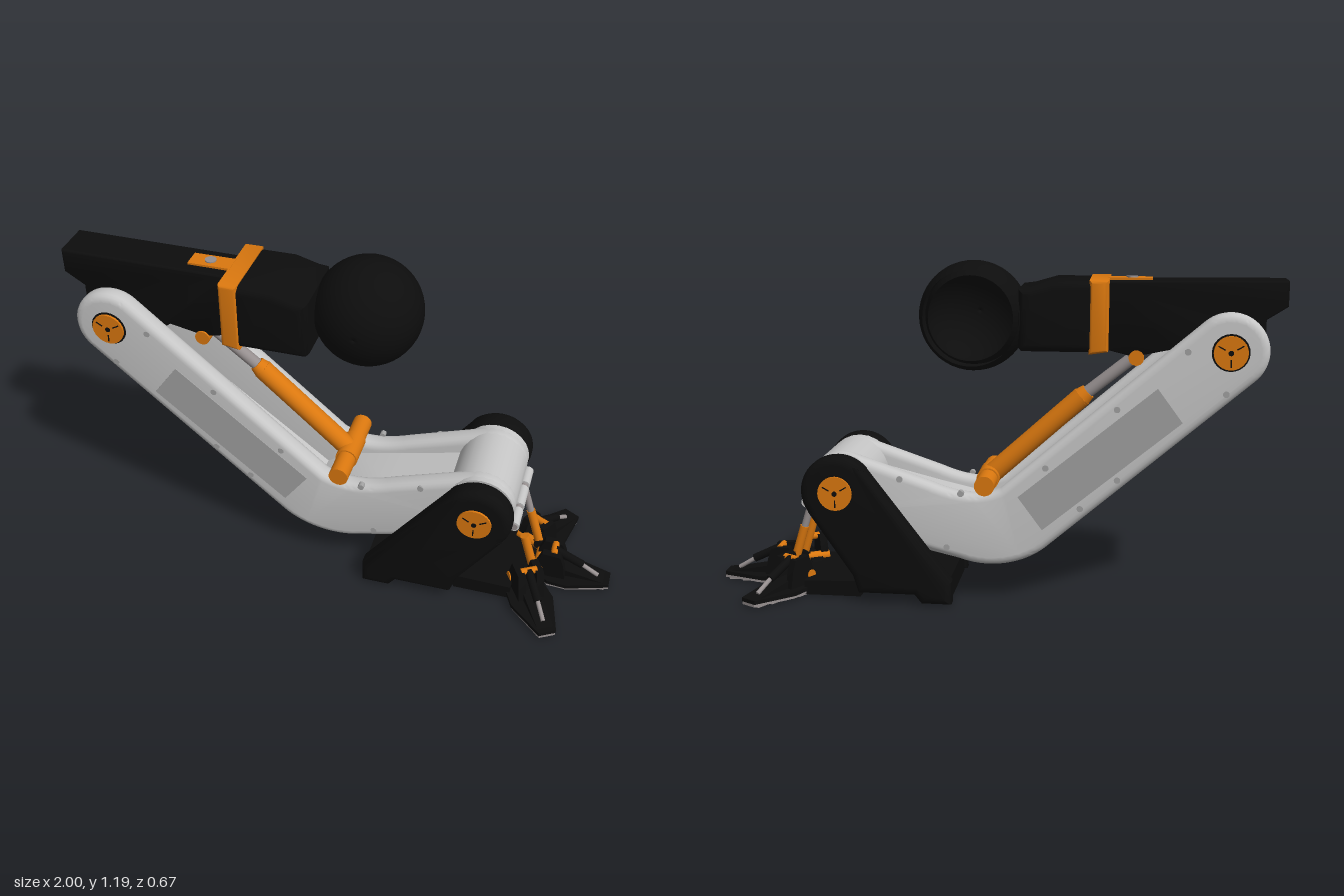
import * as THREE from 'three';
import { toCreasedNormals } from 'three/addons/utils/BufferGeometryUtils.js';

const mat = (name, color, side = THREE.FrontSide) => {
  const m = new THREE.MeshStandardMaterial({ color, side });
  m.name = name;
  return m;
};

export function createModel() {
  const shell = mat('light grey shell', 0xc6c6c6);
  const panel = mat('panel grey', 0xa2a2a2);
  const steel = mat('steel', 0x968f8f);
  const orange = mat('orange', 0xdb780f);
  const black = mat('black', 0x0d0d0d);
  const model = new THREE.Group();
  model.name = 'mechanicalLeg';

  const add = (name, geo, m, parent = model) => {
    const mesh = new THREE.Mesh(geo, m);
    mesh.name = name;
    parent.add(mesh);
    return mesh;
  };
  const poly = (pts) => new THREE.Shape(pts.map(([x, y]) => new THREE.Vector2(x, y)));
  // profile in x/y, extruded between z0 and z1 with rounded edges
  const slab = (name, shape, z0, z1, b, m, parent) => {
    const geo = new THREE.ExtrudeGeometry(Array.isArray(shape) ? poly(shape) : shape, {
      depth: z1 - z0 - 2 * b, bevelEnabled: b > 0, bevelThickness: b, bevelSize: b,
      bevelOffset: -b, bevelSegments: 4, curveSegments: 20,
    });
    geo.translate(0, 0, z0 + b);
    return add(name, toCreasedNormals(geo, 0.6), m, parent);
  };
  // round bar between two points
  const bar = (name, a, b, r, m, parent, r2 = r) => {
    const p = new THREE.Vector3(...a), q = new THREE.Vector3(...b);
    const mesh = add(name, new THREE.CylinderGeometry(r2, r, p.distanceTo(q), 24), m, parent);
    mesh.position.copy(p).add(q).multiplyScalar(0.5);
    mesh.quaternion.setFromUnitVectors(new THREE.Vector3(0, 1, 0), q.sub(p).normalize());
    return mesh;
  };
  const pin = (name, x, y, z0, z1, r, m, parent) => bar(name, [x, y, z0], [x, y, z1], r, m, parent);
  const box = (name, x0, x1, y0, y1, z0, z1, m, parent) => {
    const mesh = add(name, new THREE.BoxGeometry(x1 - x0, y1 - y0, z1 - z0), m, parent);
    mesh.position.set((x0 + x1) / 2, (y0 + y1) / 2, (z0 + z1) / 2);
    return mesh;
  };

  // Shin: two rounded rails with a channel between them
  const rail = new THREE.Shape();
  rail.moveTo(-0.725, 0.998);
  rail.absarc(-0.81, 0.9, 0.13, 0.857, 3.999, false);
  rail.lineTo(-0.2, 0.2);
  rail.bezierCurveTo(-0.12, 0.135, 0, 0.115, 0.1, 0.15);
  rail.lineTo(0.2, 0.173);
  rail.lineTo(0.55, 0.283);
  rail.absarc(0.52, 0.4, 0.122, -1.32, 1.9, false);
  rail.lineTo(0.2, 0.42);
  rail.quadraticCurveTo(0.05, 0.36, -0.045, 0.41);
  const core = new THREE.Shape();
  core.moveTo(-0.76, 0.69);
  core.lineTo(-0.2, 0.205);
  core.bezierCurveTo(-0.12, 0.14, 0, 0.12, 0.1, 0.155);
  core.lineTo(0.2, 0.178);
  core.lineTo(0.55, 0.288);
  core.lineTo(0.5, 0.45);
  core.lineTo(0.2, 0.375);
  core.lineTo(0, 0.33);
  core.lineTo(-0.1, 0.27);
  core.lineTo(-0.7, 0.74);
  slab('shinChannelFloor', core, -0.1, 0.1, 0, shell);
  pin('ankleDrum', 0.52, 0.4, -0.158, 0.158, 0.122, shell);

  const bolts = [[-0.8, 0.76], [-0.44, 0.7], [-0.2, 0.49], [-0.67, 0.9], [-0.32, 0.35], [-0.445, 0.455],
    [0.145, 0.195], [0.095, 0.39], [0.31, 0.435]];
  for (const s of [1, -1]) {
    const span = (a, b) => (s > 0 ? [a, b] : [-b, -a]);
    slab('shinRail', rail, ...span(0.085, 0.16), 0.028, shell);
    slab('shinPanel', [[-0.575, 0.775], [-0.66, 0.66], [-0.19, 0.27], [-0.105, 0.385]],
      ...span(0.157, 0.163), 0, panel);
    for (const [x, y] of bolts) pin('shinBolt', x, y, s * 0.14, s * 0.1615, 0.011, panel);

    // Joint caps with a slotted face
    for (const [x, y, z, r] of [[-0.81, 0.9, 0.16, 0.057], [0.52, 0.4, 0.24, 0.06]]) {
      pin('jointCapRim', x, y, s * (z - 0.02), s * (z + 0.003), r + 0.006, black);
      pin('jointCap', x, y, s * (z - 0.02), s * (z + 0.011), r, orange);
      for (let i = 0; i < 3; i++) {
        const a = i * 2.094 + 0.5;
        const slot = add('capSlot', new THREE.BoxGeometry(0.026, 0.004, 0.004), black);
        slot.position.set(x + Math.cos(a) * 0.035, y + Math.sin(a) * 0.035, s * (z + 0.011));
        slot.rotation.z = a;
      }
      pin('capHub', x, y, s * z, s * (z + 0.013), 0.009, black);
    }

    // Ankle side plates
    const plate = new THREE.Shape();
    plate.moveTo(0.42, 0.476);
    plate.lineTo(0.12, 0.085);
    plate.lineTo(0.12, 0.005);
    plate.lineTo(0.225, 0.005);
    plate.lineTo(0.25, 0.036);
    plate.lineTo(0.45, 0.036);
    plate.lineTo(0.47, 0.1);
    plate.lineTo(0.625, 0.325);
    plate.absarc(0.52, 0.4, 0.127, -0.62, 2.5, false);
    slab('anklePlate', plate, ...span(0.155, 0.243), 0.03, black);
  }

  // Thigh: narrow beam with knee lug, wide body, orange collar
  const beam = new THREE.Shape();
  beam.moveTo(-0.4, 1.125);
  beam.lineTo(-1, 1.13);
  beam.lineTo(-1, 1.045);
  beam.lineTo(-0.93, 1.0);
  beam.absarc(-0.81, 0.9, 0.121, 3.0, 5.6, false);
  beam.lineTo(-0.62, 0.895);
  beam.lineTo(-0.49, 0.868);
  beam.lineTo(-0.4, 0.89);
  slab('thighBeam', beam, -0.075, 0.075, 0.008, black);
  slab('thighCollar', [[-0.405, 0.892], [-0.34, 0.882], [-0.34, 1.132], [-0.405, 1.132]],
    -0.147, 0.143, 0.012, orange);
  slab('thighBody', [[-0.36, 0.888], [-0.11, 0.888], [-0.1, 0.9], [-0.1, 1.1], [-0.14, 1.105],
    [-0.22, 1.128], [-0.36, 1.128]], -0.147, 0.14, 0.03, black);
  box('collarTopPlate', -0.55, -0.4, 1.124, 1.133, -0.032, 0.036, orange);
  bar('topPlateStud', [-0.48, 1.125, 0], [-0.48, 1.137, 0], 0.02, steel);

  // Hip cup: hollow sphere cut open toward the back
  const cup = [];
  const cut = Math.PI / 3;
  for (let i = 0; i <= 24; i++) {
    const a = cut + (i / 24) * (Math.PI - cut);
    cup.push(new THREE.Vector2(Math.max(0, 0.19 * Math.sin(a)), -0.19 * Math.cos(a)));
  }
  for (let i = 24; i >= 0; i--) {
    const a = cut + (i / 24) * (Math.PI - cut);
    cup.push(new THREE.Vector2(Math.max(0, 0.168 * Math.sin(a)), i ? -0.168 * Math.cos(a) : -0.095));
  }
  const cupMat = mat('black cup', 0x0d0d0d, THREE.DoubleSide);
  const hip = add('hipCup', new THREE.LatheGeometry(cup, 48), cupMat);
  hip.rotation.x = Math.PI / 2;
  hip.position.set(0.06, 1.0, -0.05);

  // Main piston between shin and thigh
  bar('mainPistonBarrel', [0.0, 0.43, 0], [-0.315, 0.715, 0], 0.036, orange);
  bar('mainPistonNeck', [-0.31, 0.71, 0], [-0.335, 0.733, 0], 0.036, orange, model, 0.028);
  bar('mainPistonRod', [-0.32, 0.72, 0], [-0.5, 0.865, 0], 0.022, steel);
  pin('pistonLowerPivot', 0.012, 0.42, -0.06, 0.06, 0.04, orange);
  pin('pistonLowerAxle', 0.012, 0.42, -0.163, 0.163, 0.035, orange);
  pin('pistonUpperPivot', -0.5, 0.865, -0.082, 0.082, 0.026, orange);

  // Foot base
  slab('footBase', [[0.13, 0.003], [0.225, 0.003], [0.25, 0.036], [0.43, 0.036], [0.455, 0.003],
    [0.66, 0.003], [0.66, 0.055], [0.45, 0.06], [0.22, 0.085], [0.13, 0.085]], -0.17, 0.17, 0, black);
  box('toeBridge', 0.64, 0.72, 0.01, 0.055, -0.1, 0.1, black);

  // Ankle cross rod and small pistons
  pin('ankleCrossRod', 0.645, 0.34, -0.158, 0.158, 0.014, steel);
  for (const [a, b] of [[-0.155, -0.07], [-0.05, 0.05], [0.07, 0.155]])
    pin('crossRodSleeve', 0.645, 0.34, a, b, 0.02, shell);
  for (const z of [-0.07, 0.07]) {
    bar('anklePistonBarrel', [0.725, 0.08, z], [0.68, 0.228, z], 0.016, orange);
    pin('anklePistonPivot', 0.725, 0.08, z - 0.02, z + 0.02, 0.018, black);
  }
  bar('anklePistonRod', [0.68, 0.225, -0.07], [0.645, 0.34, -0.07], 0.013, steel);

  // Toes: one forward, two splayed
  const flat = (name, pts, y0, y1, m, parent) => {
    const full = [...pts, ...pts.map(([x, z]) => [x, -z]).reverse()];
    const mesh = slab(name, full.reverse(), 0, y1 - y0, 0, m, parent);
    mesh.rotation.x = -Math.PI / 2;
    mesh.position.y = y0;
  };
  for (const [x, z, turn] of [[0.74, 0, 0], [0.69, -0.093, 1], [0.69, 0.093, -1]]) {
    const toe = new THREE.Group();
    toe.name = 'toe';
    toe.position.set(x, 0, z);
    toe.rotation.y = turn * Math.PI / 3;
    model.add(toe);
    flat('toeSole', [[0, 0.03], [0.04, 0.07], [0.11, 0.075], [0.26, 0.03]], 0.006, 0.016, steel, toe);
    for (let i = 0; i < 4; i++) {
      const x0 = 0.04 + i * 0.055, w = 0.066 - i * 0.011;
      box('toeTread', x0, x0 + 0.04, 0, 0.008, -w, w, steel, toe);
    }
    flat('toePad', [[-0.01, 0.03], [0.04, 0.074], [0.11, 0.08], [0.26, 0.032]], 0.016, 0.03, black, toe);
    slab('toeRidge', [[0.02, 0.028], [0.25, 0.028], [0.16, 0.045], [0.08, 0.06], [0.02, 0.06]],
      -0.03, 0.03, 0, black, toe);
    slab('toeLink', [[-0.08, 0.02], [0.03, 0.02], [0.03, 0.07], [-0.08, 0.05]], -0.024, 0.024, 0, black, toe);
    for (const s of [-1, 1])
      slab('toeKnuckle', [[0, 0.03], [0.1, 0.03], [0.09, 0.09], [0.075, 0.13], [0.01, 0.135], [-0.01, 0.08]],
        s * 0.035 - 0.014, s * 0.035 + 0.014, 0, black, toe);
    pin('toeHinge', 0.0, 0.06, -0.053, 0.053, 0.018, orange, toe);
    pin('toePistonPivot', 0.05, 0.125, -0.03, 0.03, 0.013, orange, toe);
    bar('toePistonBarrel', [0.05, 0.125, 0], [0.155, 0.075, 0], 0.015, black, toe);
    bar('toePistonRod', [0.15, 0.077, 0], [0.215, 0.038, 0], 0.008, steel, toe);
  }
  return model;
}
